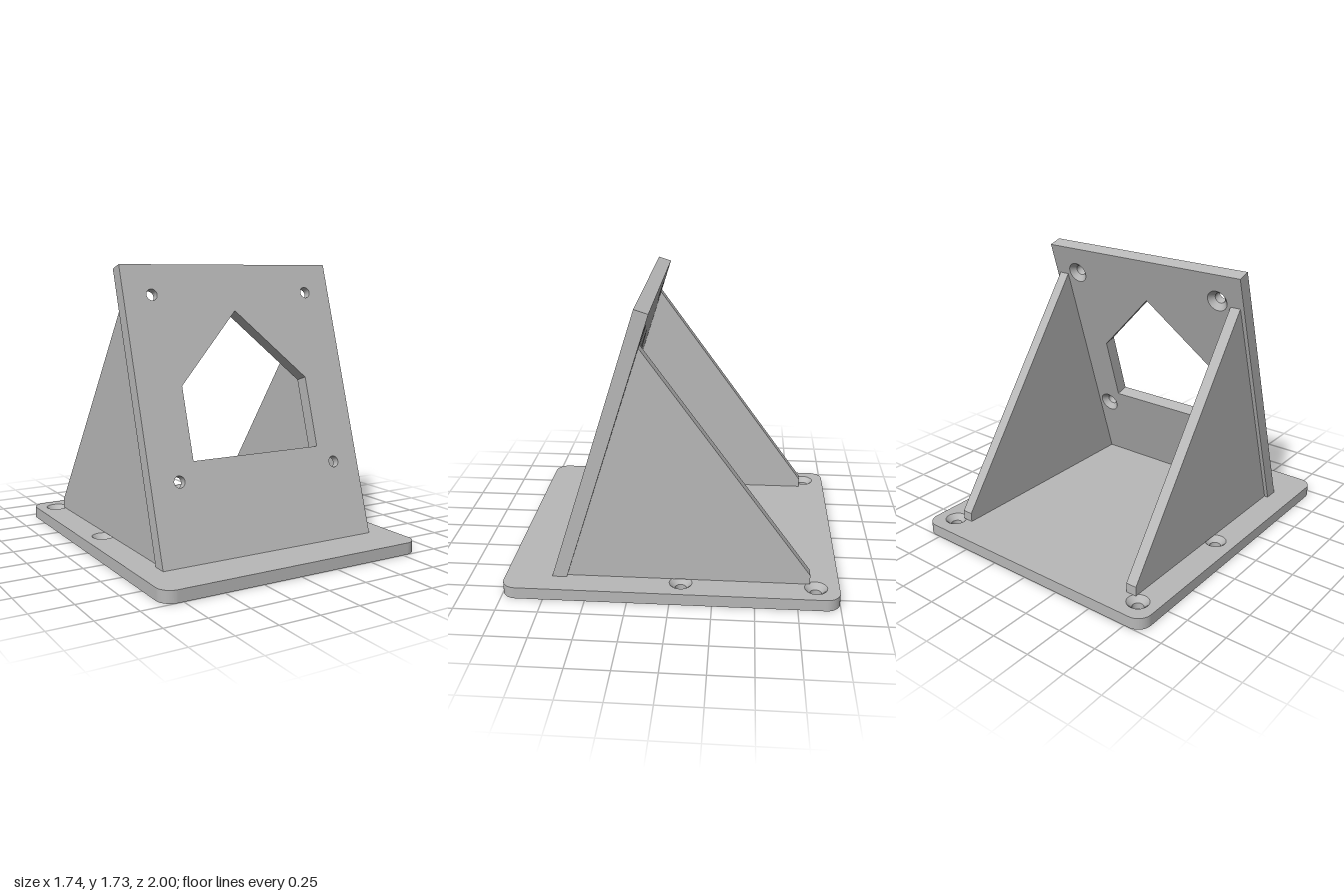
import * as THREE from 'three';
import { mergeGeometries } from 'three/addons/utils/BufferGeometryUtils.js';

const SCREW_R = 0.0345, SINK_R = 0.068, SINK_DEPTH = 0.034;
const BASE_T = 0.072, PANEL_T = 0.085, TILT = THREE.MathUtils.degToRad(17.47);

function polygon(points) {
  return new THREE.Shape(points.map(([x, y]) => new THREE.Vector2(x, y)));
}

function roundedRect(w, h, r) {
  const s = new THREE.Shape(), x = w / 2 - r, y = h / 2 - r, q = Math.PI / 2;
  s.absarc(x, y, r, 0, q);
  s.absarc(-x, y, r, q, 2 * q);
  s.absarc(-x, -y, r, 2 * q, 3 * q);
  s.absarc(x, -y, r, 3 * q, 4 * q);
  s.closePath();
  return s;
}

// Plate from z = 0 to t with screw holes countersunk on the +z side.
// The outline must be symmetric in x.
function countersunkPlate(outline, screws, t) {
  const face = (radius) => {
    const s = outline.clone();
    for (const [x, y] of screws) {
      s.holes.push(new THREE.Path().absarc(x, y, radius, 0, Math.PI * 2, true));
    }
    return new THREE.ShapeGeometry(s, 16).toNonIndexed();
  };
  // Outer and window walls only, without the caps
  const solid = new THREE.ExtrudeGeometry(outline, { depth: t, bevelEnabled: false, curveSegments: 8 });
  const { start, count } = solid.groups[1];
  const walls = new THREE.BufferGeometry();
  for (const name of ['position', 'normal', 'uv']) {
    const a = solid.attributes[name], n = a.itemSize;
    walls.setAttribute(name, new THREE.BufferAttribute(a.array.slice(start * n, (start + count) * n), n));
  }
  const parts = [walls, face(SINK_R).translate(0, 0, t), face(SCREW_R).rotateY(Math.PI)];
  // Inward-facing cone and bore for each screw
  const bands = [
    [[SINK_R, t], [SCREW_R, t - SINK_DEPTH]],
    [[SCREW_R, t - SINK_DEPTH], [SCREW_R, 0]],
  ];
  for (const [x, y] of screws) {
    for (const band of bands) {
      const lathe = new THREE.LatheGeometry(band.map(([r, h]) => new THREE.Vector2(r, h)), 32);
      parts.push(lathe.toNonIndexed().rotateX(Math.PI / 2).translate(x, y, 0));
    }
  }
  return mergeGeometries(parts);
}

export function createModel() {
  const group = new THREE.Group();
  const grey = new THREE.MeshStandardMaterial({ color: 0xb8b8b8 });
  grey.name = 'plain grey';
  const add = (name, geometry) => {
    const mesh = new THREE.Mesh(geometry, grey);
    mesh.name = name;
    group.add(mesh);
    return mesh;
  };

  // Base plate, local y becomes -z
  const baseScrews = [[0.74, 0.86], [-0.74, 0.86], [0.74, 0.06], [-0.74, 0.06]];
  add('basePlate', countersunkPlate(roundedRect(1.738, 2, 0.087), baseScrews, BASE_T).rotateX(-Math.PI / 2));

  // Leaning panel with a house-shaped window, countersunk at the back
  const panel = polygon([[-0.724, -0.01], [0.724, -0.01], [0.724, 1.738], [-0.724, 1.738]]);
  panel.holes.push(polygon([[-0.436, 0.577], [-0.436, 1.013], [0, 1.449], [0.436, 1.013], [0.436, 0.577]]));
  const panelScrews = [[0.543, 0.47], [-0.543, 0.47], [0.543, 1.556], [-0.543, 1.556]];
  const c = Math.cos(TILT), s = Math.sin(TILT);
  const lean = new THREE.Matrix4().makeBasis(
    new THREE.Vector3(-1, 0, 0), new THREE.Vector3(0, c, -s), new THREE.Vector3(0, -s, -c));
  lean.setPosition(0, BASE_T, 0.717);
  add('leaningPanel', countersunkPlate(panel, panelScrews, PANEL_T).applyMatrix4(lean));

  // Triangular side braces, drawn in z and y
  const brace = polygon([[0.628, BASE_T], [0.175, 1.508], [-0.826, 0.13], [-0.826, BASE_T]]);
  for (const [name, outerX] of [['leftBrace', 0.7], ['rightBrace', -0.632]]) {
    const geometry = new THREE.ExtrudeGeometry(brace, { depth: 0.068, bevelEnabled: false });
    add(name, geometry.rotateY(-Math.PI / 2).translate(outerX, 0, 0));
  }
  return group;
}
